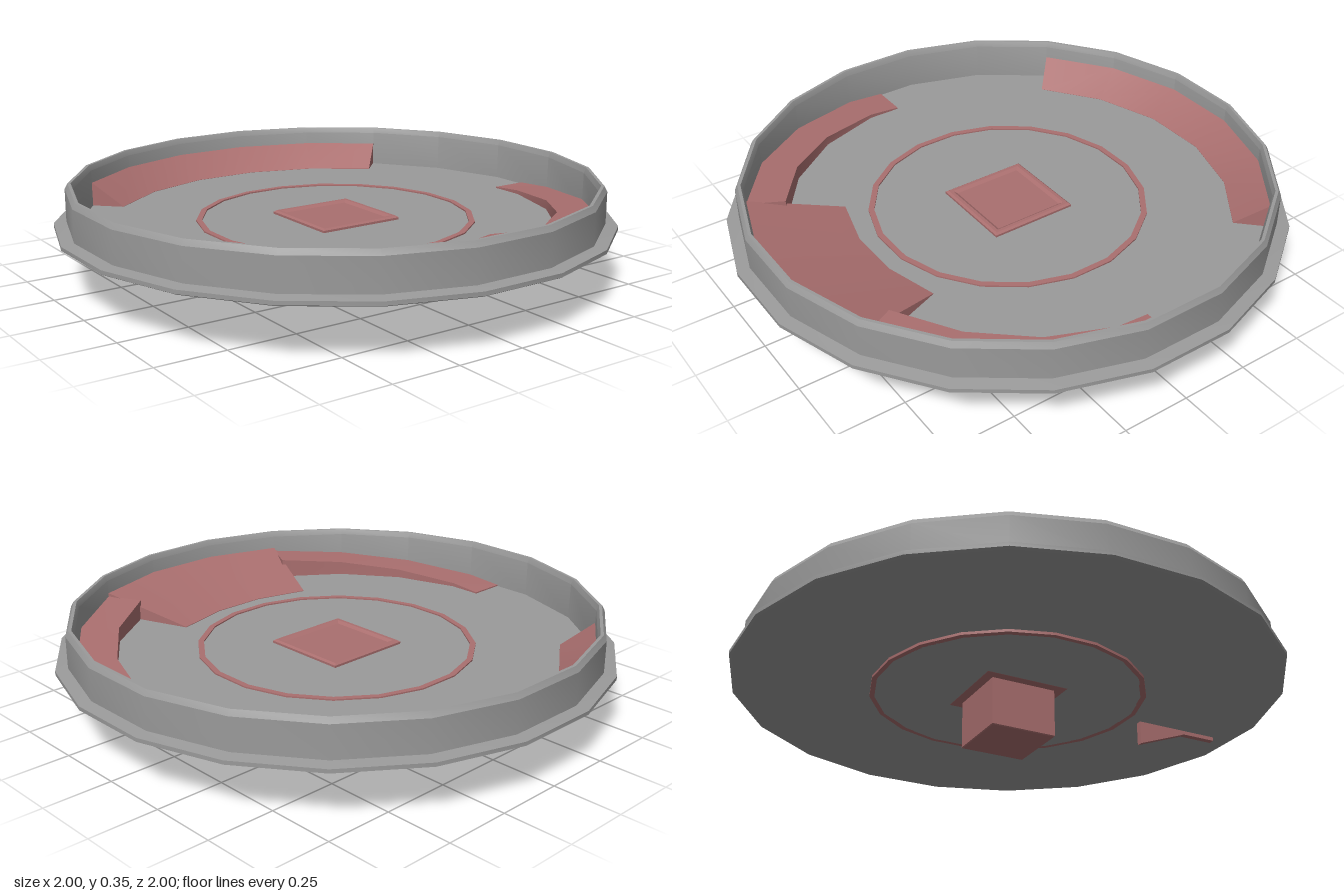
import * as THREE from 'three';
import { toCreasedNormals } from 'three/addons/utils/BufferGeometryUtils.js';

const SIDES = 20;
const FLAT = Math.cos(Math.PI / SIDES); // apothem / radius of the 20-gon
const rad = THREE.MathUtils.degToRad;

const grey = new THREE.MeshStandardMaterial({ color: 0x9a9a9a });
grey.name = 'grey';
const red = new THREE.MeshStandardMaterial({ color: 0xaa6f6f });
red.name = 'dusty red';

function addMesh(group, name, geometry, material) {
  const mesh = new THREE.Mesh(geometry, material);
  mesh.name = name;
  group.add(mesh);
  return mesh;
}

// Faceted solid of revolution with flat sides facing the axes
function turned(points, sides) {
  const profile = points.map(([r, y]) => new THREE.Vector2(r, y));
  return toCreasedNormals(new THREE.LatheGeometry(profile, sides, Math.PI / sides), 0.45);
}

const polar = (r, deg, y) => [r * Math.sin(rad(deg)), y, r * Math.cos(rad(deg))];

// Solid joining four-cornered sections, with end caps
function loft(sections) {
  const pos = [];
  const tri = (...corners) => corners.forEach((c) => pos.push(...c));
  for (let i = 0; i < sections.length - 1; i++) {
    const a = sections[i], b = sections[i + 1];
    for (let j = 0; j < 4; j++) {
      const k = (j + 1) % 4;
      tri(a[j], b[j], b[k]);
      tri(a[j], b[k], a[k]);
    }
  }
  const s = sections[0], e = sections[sections.length - 1];
  tri(s[0], s[1], s[2]); tri(s[0], s[2], s[3]);
  tri(e[0], e[2], e[1]); tri(e[0], e[3], e[2]);
  const g = new THREE.BufferGeometry();
  g.setAttribute('position', new THREE.Float32BufferAttribute(pos, 3));
  return toCreasedNormals(g, 0.45);
}

// One section: outer bottom, outer top, inner top, inner bottom
function section(deg, outer, inner, outerY, innerY, innerDeg = deg) {
  const base = 0.194;
  return [polar(outer, deg, base), polar(outer, deg, outerY),
    polar(inner, innerDeg, innerY), polar(inner, innerDeg, base)];
}

export function createModel() {
  const model = new THREE.Group();
  model.name = 'roundTray';

  // Tray: underside, brim, wall, rounded rim and floor
  addMesh(model, 'tray', turned([
    [0, 0.183], [0.491, 0.183], [0.491, 0.193], [1.003, 0.193], [1.0125, 0.198],
    [1.0125, 0.212], [0.968, 0.218], [0.968, 0.335], [0.957, 0.355], [0.946, 0.355],
    [0.938, 0.335], [0.936, 0.2], [0, 0.2],
  ], SIDES), grey);

  // Red ring running through the floor
  addMesh(model, 'floorRing', turned([
    [0.488, 0.183], [0.509, 0.183], [0.509, 0.205], [0.488, 0.205], [0.488, 0.183],
  ], SIDES), red);

  // Square peg with a bevelled, slightly dished flange
  addMesh(model, 'centrePeg', turned([
    [0, 0], [0.173, 0], [0.177, 0.004], [0.177, 0.182], [0.226, 0.182], [0.233, 0.19],
    [0.233, 0.208], [0.222, 0.214], [0.205, 0.214], [0.188, 0.206], [0, 0.206],
  ], 4), red);

  // Sloped bank along the back wall
  const back = [];
  for (let d = 135; d <= 225; d += 18) back.push(section(d, 0.94, 0.816, 0.29, 0.201));
  addMesh(model, 'backSlope', loft(back), red);

  // Curved ramps rising from the sides towards the front
  for (const side of [1, -1]) {
    const ramp = [90, 81, 63, 45, 27].map((d) => {
      const k = d === 90 ? FLAT : 1;
      const y = 0.205 + 0.067 * (90 - d) / 63;
      return section(side * d, 0.937 * k, 0.798 * k, y, y);
    });
    if (side > 0) ramp.reverse();
    addMesh(model, side > 0 ? 'leftRamp' : 'rightRamp', loft(ramp), red);
  }

  // Wide chute sloping inwards at the front
  const chute = [-27, -9, 9, 27].map((d) =>
    section(d, 0.937, Math.abs(d) > 20 ? 0.592 : 0.572, 0.285, 0.202, d * 1.13));
  addMesh(model, 'frontChute', loft(chute), red);

  // Thin fin hanging below the chute
  const finShape = new THREE.Shape([
    [0.91, 0.197], [0.91, 0.178], [0.77, 0.178], [0.567, 0.102], [0.567, 0.197],
  ].map(([z, y]) => new THREE.Vector2(z, y)));
  const fin = new THREE.ExtrudeGeometry(finShape, { depth: 0.024, bevelEnabled: false });
  fin.rotateY(-Math.PI / 2).translate(0.008, 0, 0);
  addMesh(model, 'lowerFin', fin, red);

  return model;
}
